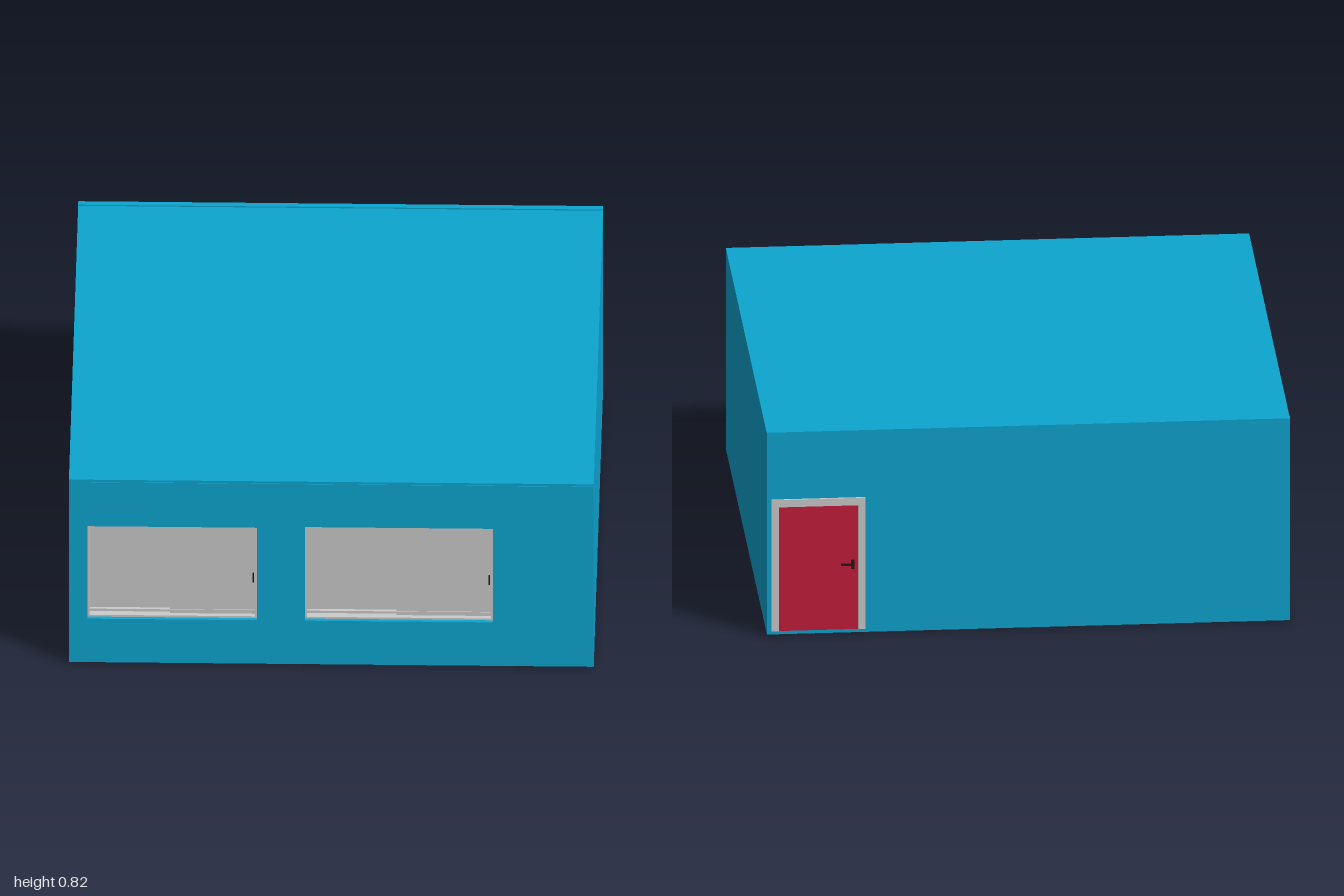
import * as THREE from 'three';

const mat = (color) => new THREE.MeshStandardMaterial({ color });
const BLUE = mat(0x0da5d0), GREY = mat(0xcccccc), RED = mat(0xc41c3c);
const WOOD = mat(0xa8841e), DARK = mat(0x1c1a18);

// Box given by its min and max corners
function block(parent, name, material, [x0, y0, z0], [x1, y1, z1]) {
  const mesh = new THREE.Mesh(new THREE.BoxGeometry(x1 - x0, y1 - y0, z1 - z0), material);
  mesh.position.set((x0 + x1) / 2, (y0 + y1) / 2, (z0 + z1) / 2);
  mesh.name = name;
  parent.add(mesh);
  return mesh;
}

function rect(Type, x0, y0, x1, y1) {
  return new Type([[x0, y0], [x1, y0], [x1, y1], [x0, y1]].map((p) => new THREE.Vector2(...p)));
}

// Sliding window: thin frame, two overlapping panes, rails and a pull
function makeWindow({ x0, x1, y0, y1 }) {
  const g = new THREE.Group();
  g.name = 'slidingWindow';
  const mid = (x0 + x1) / 2, f = 0.008;
  block(g, 'leftFrame', GREY, [x0, y0, 0.945], [x0 + f, y1, 0.985]);
  block(g, 'rightFrame', GREY, [x1 - f, y0, 0.945], [x1, y1, 0.985]);
  block(g, 'topFrame', GREY, [x0, y1 - f, 0.945], [x1, y1, 0.985]);
  block(g, 'bottomFrame', GREY, [x0, y0, 0.945], [x1, y0 + f, 0.985]);
  block(g, 'backPane', GREY, [x0 + f, y0 + f, 0.951], [mid + 0.01, y1 - f, 0.957]);
  block(g, 'frontPane', GREY, [mid - 0.01, y0 + f, 0.961], [x1 - f, y1 - f, 0.967]);
  block(g, 'bottomRail', GREY, [x0 + f, y0 + 0.02, 0.948], [x1 - f, y0 + 0.026, 0.97]);
  block(g, 'pull', DARK, [x1 - 0.018, y0 + 0.15, 0.967], [x1 - 0.012, y0 + 0.19, 0.973]);
  return g;
}

// Four legs around a rectangle
function legs(parent, x0, x1, z0, z1, top, t) {
  for (const x of [x0, x1 - t]) for (const z of [z0, z1 - t])
    block(parent, 'leg', DARK, [x, 0, z], [x + t, top, z + t]);
}

// Desk with a chair tucked in behind it, facing +x
function makeDesk() {
  const g = new THREE.Group();
  g.name = 'deskAndChair';
  block(g, 'deskTop', WOOD, [-0.07, 0.094, -0.117], [0.07, 0.102, 0.117]);
  legs(g, -0.06, 0.06, -0.107, 0.107, 0.094, 0.008);
  const chair = new THREE.Group();
  chair.name = 'chair';
  block(chair, 'seat', WOOD, [-0.12, 0.052, -0.04], [-0.04, 0.058, 0.04]);
  legs(chair, -0.12, -0.04, -0.04, 0.04, 0.052, 0.006);
  for (const z of [-0.04, 0.034])
    block(chair, 'backPost', DARK, [-0.12, 0.052, z], [-0.114, 0.125, z + 0.006]);
  for (const y of [0.078, 0.108])
    block(chair, 'backSlat', WOOD, [-0.119, y, -0.036], [-0.114, y + 0.015, 0.036]);
  g.add(chair);
  return g;
}

export function createModel() {
  const room = new THREE.Group();
  room.name = 'classroom';

  // Shell, open on the -x side
  block(room, 'floor', BLUE, [-0.99, 0.006, -0.99], [0.99, 0.02, 0.998]);
  block(room, 'roof', BLUE, [-0.99, 0.805, -0.97], [0.99, 0.815, 0.998]);
  block(room, 'backWall', BLUE, [-0.99, 0.02, -0.99], [0.99, 0.82, -0.965]);
  block(room, 'sideWall', BLUE, [0.962, 0.02, -0.965], [0.99, 0.805, 0.935]);
  block(room, 'baseStrip', BLUE, [-0.97, 0, -0.97], [0.97, 0.006, 0.97]);

  // Front wall with two window openings
  const openings = [
    { x0: -0.92, x1: -0.28, y0: 0.2, y1: 0.61 },
    { x0: -0.1, x1: 0.61, y0: 0.2, y1: 0.615 },
  ];
  const shape = rect(THREE.Shape, -0.99, 0.02, 0.99, 0.805);
  shape.holes = openings.map((o) => rect(THREE.Path, o.x0, o.y0, o.x1, o.y1));
  const front = new THREE.Mesh(
    new THREE.ExtrudeGeometry(shape, { depth: 0.065, bevelEnabled: false }), BLUE);
  front.position.z = 0.935;
  front.name = 'frontWall';
  room.add(front);
  block(room, 'windowLedge', BLUE, [-0.99, 0.18, 0.915], [0.962, 0.2, 0.935]);
  openings.forEach((o) => room.add(makeWindow(o)));

  // Door, frame and lever on the back wall, repeated on the inside
  const door = new THREE.Group();
  door.name = 'door';
  block(door, 'doorLeaf', RED, [0.645, 0.02, -0.993], [0.945, 0.52, -0.962]);
  block(door, 'leftJamb', GREY, [0.945, 0.02, -0.997], [0.973, 0.55, -0.958]);
  block(door, 'rightJamb', GREY, [0.617, 0.02, -0.997], [0.645, 0.55, -0.958]);
  block(door, 'lintel', GREY, [0.645, 0.52, -0.997], [0.945, 0.55, -0.958]);
  for (const z of [-0.998, -0.957]) {
    block(door, 'lever', DARK, [0.66, 0.278, z - 0.002], [0.71, 0.286, z + 0.002]);
    block(door, 'leverPlate', DARK, [0.66, 0.265, z - 0.001], [0.672, 0.3, z + 0.005]);
  }
  room.add(door);

  // Rows of desks
  for (const x of [-0.5, -0.05, 0.4]) for (const z of [-0.65, 0, 0.65]) {
    const desk = makeDesk();
    desk.position.set(x, 0.02, z);
    room.add(desk);
  }
  return room;
}
